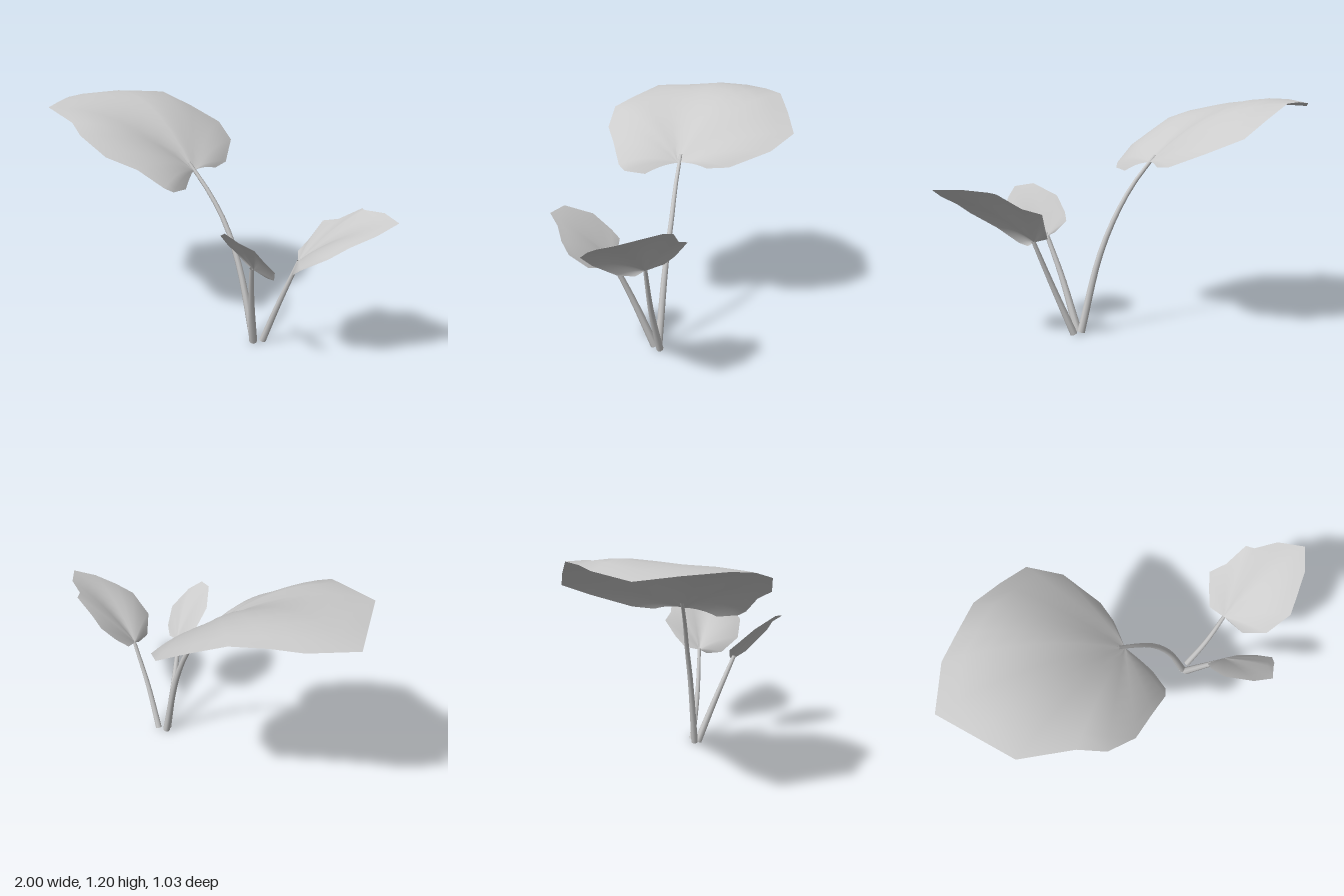
import * as THREE from 'three';

const material = new THREE.MeshStandardMaterial({ color: 0xcccccc, side: THREE.DoubleSide });
const vec = (p) => new THREE.Vector3(p[0], p[1], p[2]);

// Leaf blade: arched ribs fan out from the stalk joint to each rim point.
// Rim entries are [x, y, z, arch height of that rib].
function leaf(name, joint, rim) {
  const steps = 8, positions = [], index = [];
  for (const [x, y, z, arch] of rim) {
    for (let j = 0; j <= steps; j++) {
      const t = j / steps;
      positions.push(
        joint[0] + (x - joint[0]) * t,
        joint[1] + (y - joint[1]) * t + 4 * arch * t * (1 - t),
        joint[2] + (z - joint[2]) * t);
    }
  }
  const row = steps + 1;
  for (let i = 0; i < rim.length - 1; i++) {
    for (let j = 0; j < steps; j++) {
      const a = i * row + j, b = a + row;
      if (j > 0) index.push(a, b + 1, b);
      index.push(a, a + 1, b + 1);
    }
  }
  const geometry = new THREE.BufferGeometry();
  geometry.setAttribute('position', new THREE.Float32BufferAttribute(positions, 3));
  geometry.setIndex(index);
  geometry.computeVertexNormals();
  const mesh = new THREE.Mesh(geometry, material);
  mesh.name = name;
  return mesh;
}

// Stalk: a tube along a curve, tapering from foot to tip, closed at the foot.
function stalk(name, points, r0, r1) {
  const curve = new THREE.CatmullRomCurve3(points.map(vec));
  const segments = 12, sides = 8;
  const geometry = new THREE.TubeGeometry(curve, segments, 1, sides);
  const pos = geometry.attributes.position, v = new THREE.Vector3();
  for (let i = 0; i < pos.count; i++) {
    const t = Math.floor(i / (sides + 1)) / segments;
    const c = curve.getPointAt(t);
    v.fromBufferAttribute(pos, i).sub(c).multiplyScalar(r0 + (r1 - r0) * t).add(c);
    pos.setXYZ(i, v.x, v.y, v.z);
  }
  const group = new THREE.Group();
  group.name = name;
  const foot = new THREE.Mesh(new THREE.CircleGeometry(r0, sides), material);
  foot.name = name + 'Foot';
  foot.position.copy(curve.getPointAt(0));
  foot.quaternion.setFromUnitVectors(new THREE.Vector3(0, 0, 1), curve.getTangentAt(0).negate());
  const tube = new THREE.Mesh(geometry, material);
  tube.name = name + 'Tube';
  group.add(tube, foot);
  return group;
}

export function createModel() {
  const plant = new THREE.Group();
  plant.name = 'leafyPlant';

  // Tall stalk with the large drooping leaf
  plant.add(stalk('largeStalk', [
    [0.29, 0.01, -0.11], [0.19, 0.4, -0.095], [0.095, 0.62, -0.078],
    [0, 0.77, -0.05], [-0.115, 0.905, -0.018]], 0.02, 0.009));
  plant.add(leaf('largeLeaf', [-0.08, 0.87, -0.02], [
    [-0.09, 0.855, -0.18, 0.01], [-0.125, 0.865, -0.29, 0.02],
    [-0.265, 0.94, -0.46, 0.03], [-0.43, 1.01, -0.52, 0.05],
    [-0.57, 1.095, -0.43, 0.06], [-0.71, 1.172, -0.33, 0.08],
    [-0.82, 1.178, -0.2, 0.11], [-0.915, 1.172, -0.09, 0.135],
    [-1, 1.155, 0.135, 0.15], [-0.86, 1.165, 0.285, 0.12],
    [-0.71, 1.17, 0.445, 0.09], [-0.45, 1.13, 0.47, 0.07],
    [-0.32, 1.09, 0.51, 0.055], [-0.175, 1.0, 0.465, 0.05],
    [-0.06, 0.94, 0.36, 0.04], [0.035, 0.85, 0.27, 0.03],
    [0.05, 0.825, 0.225, 0.02], [0.02, 0.815, 0.12, 0.01]]));

  // Left stalk with the medium leaf
  plant.add(stalk('mediumStalk', [
    [0.33, 0.01, -0.14], [0.43, 0.25, -0.148], [0.53, 0.5, -0.175]], 0.018, 0.01));
  plant.add(leaf('mediumLeaf', [0.525, 0.495, -0.172], [
    [0.465, 0.52, -0.24, 0], [0.48, 0.575, -0.305, 0.005],
    [0.5, 0.66, -0.38, 0.01], [0.595, 0.69, -0.385, 0.015],
    [0.71, 0.765, -0.42, 0.02], [0.745, 0.77, -0.39, 0.025],
    [0.87, 0.785, -0.38, 0.035], [1, 0.78, -0.315, 0.045],
    [0.965, 0.735, -0.2, 0.045], [0.895, 0.685, -0.105, 0.04],
    [0.835, 0.63, -0.025, 0.035], [0.7, 0.545, 0.005, 0.02],
    [0.595, 0.475, -0.06, 0.01], [0.555, 0.47, -0.135, 0]].reverse()));

  // Front stalk with the small leaf
  plant.add(stalk('smallStalk', [
    [0.305, 0.01, -0.095], [0.375, 0.28, -0.005], [0.447, 0.5, 0.07]], 0.021, 0.011));
  plant.add(leaf('smallLeaf', [0.445, 0.485, 0.052], [
    [0.4, 0.505, 0.06, 0], [0.34, 0.56, 0.08, 0.005],
    [0.342, 0.6, 0.125, 0.01], [0.375, 0.68, 0.21, 0.015],
    [0.495, 0.74, 0.295, 0.02], [0.595, 0.725, 0.307, 0.02],
    [0.63, 0.68, 0.24, 0.02], [0.66, 0.62, 0.2, 0.015],
    [0.675, 0.565, 0.15, 0.01], [0.61, 0.49, 0.085, 0.005],
    [0.53, 0.47, 0.052, 0]].reverse()));

  return plant;
}
